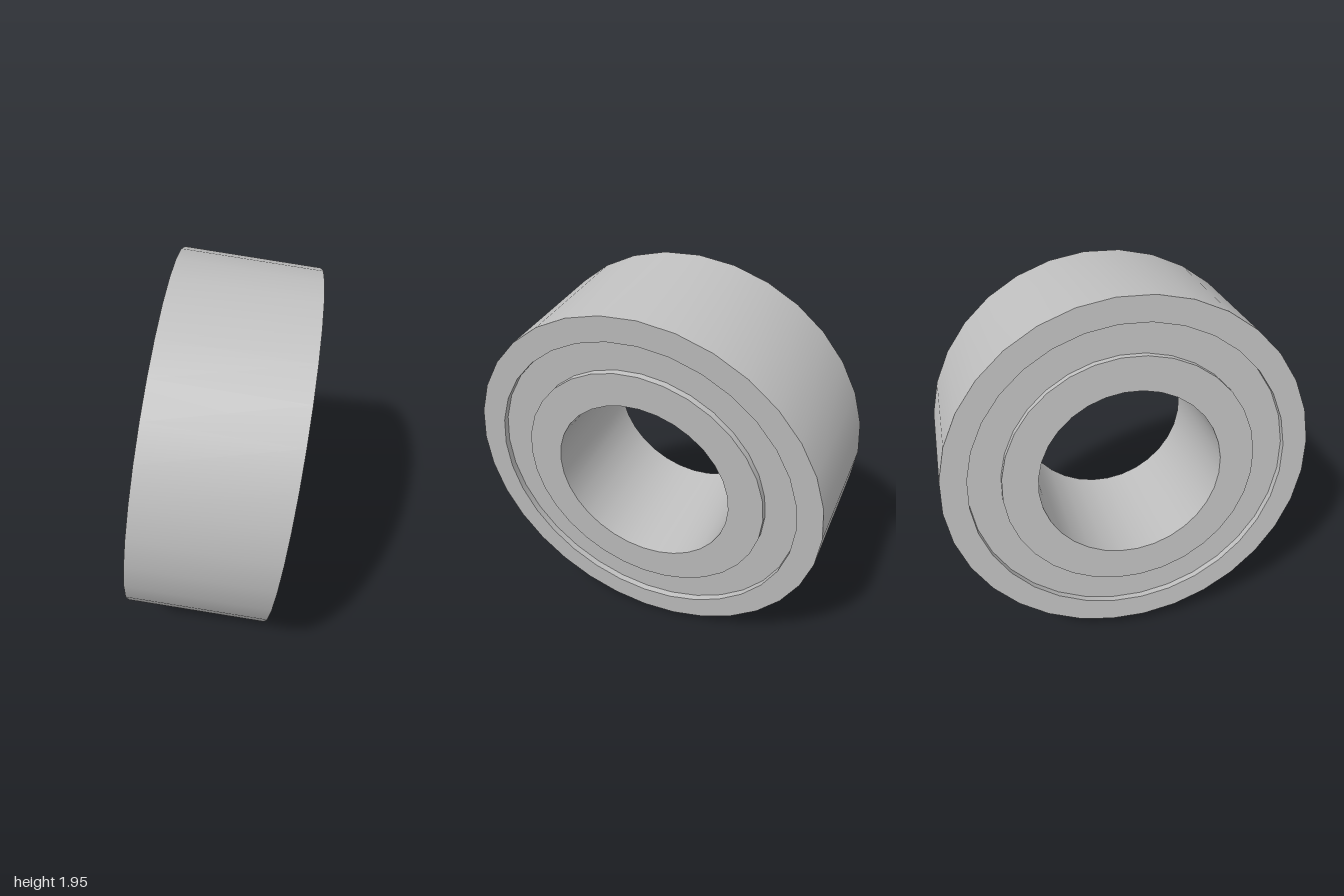
import * as THREE from 'three';
import { toCreasedNormals } from 'three/addons/utils/BufferGeometryUtils.js';

const SEGMENTS = 32;
const HALF_WIDTH = 0.354;
const RECESS = 0.033;

// Rectangular-section ring around the y axis
function ring(name, inner, outer, half, material) {
  const profile = [
    [inner, -half], [outer, -half], [outer, half], [inner, half], [inner, -half],
  ].map(([r, y]) => new THREE.Vector2(r, y));
  const geometry = toCreasedNormals(new THREE.LatheGeometry(profile, SEGMENTS), 0.7);
  const mesh = new THREE.Mesh(geometry, material);
  mesh.name = name;
  return mesh;
}

export function createModel() {
  const steel = new THREE.MeshStandardMaterial({ color: 0xc0c0c0 });
  steel.name = 'steel';

  const bearing = new THREE.Group();
  bearing.name = 'bearing';
  bearing.add(
    ring('outerRace', 0.813, 0.9425, HALF_WIDTH, steel),
    ring('innerRace', 0.47, 0.649, HALF_WIDTH, steel),
    // Shields sit slightly below the race faces on both sides
    ring('shield', 0.64, 0.822, HALF_WIDTH - RECESS, steel),
  );

  // Tilted axle direction
  const axis = new THREE.Vector3(0.96, -0.122, -0.247).normalize();
  bearing.quaternion.setFromUnitVectors(new THREE.Vector3(0, 1, 0), axis);
  bearing.position.y = 0.979;

  const model = new THREE.Group();
  model.name = 'tiltedBearing';
  model.add(bearing);
  return model;
}
